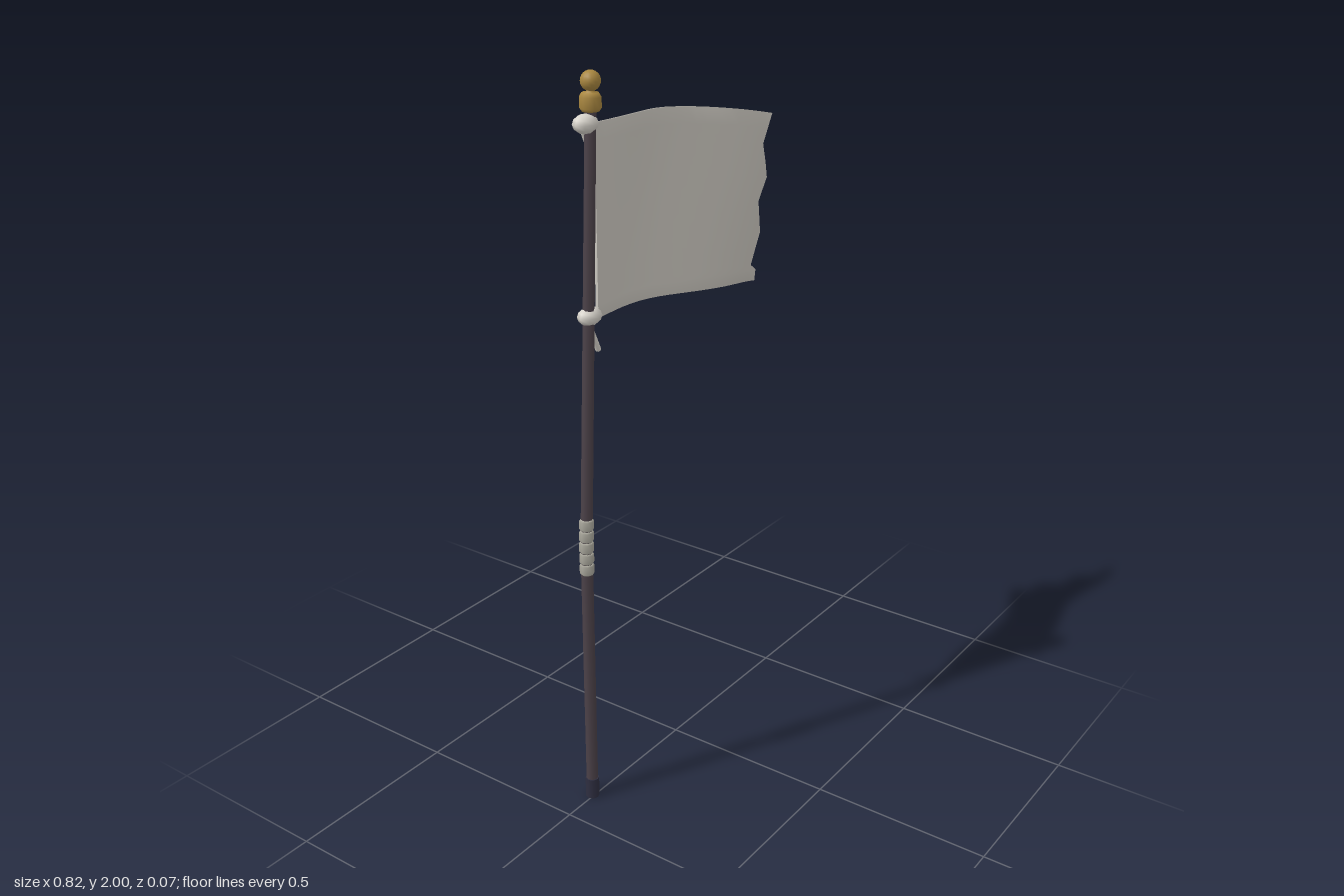
import * as THREE from 'three';

const mat = (name, color) => {
  const m = new THREE.MeshStandardMaterial({ color });
  m.name = name;
  return m;
};

const Z = -0.005; // depth of the pole axis
const BEND = new THREE.Vector3(-0.392, 0.78, Z);
const TOP = new THREE.Vector3(-0.337, 1.91, Z);
const poleAt = (y) => BEND.clone().lerp(TOP, (y - BEND.y) / (TOP.y - BEND.y));

// Cylinder running between two points
function rod(name, a, b, rTop, rBottom, sides, material) {
  const mesh = new THREE.Mesh(new THREE.CylinderGeometry(rTop, rBottom, a.distanceTo(b), sides), material);
  mesh.position.copy(a).add(b).multiplyScalar(0.5);
  mesh.quaternion.setFromUnitVectors(new THREE.Vector3(0, 1, 0), b.clone().sub(a).normalize());
  mesh.name = name;
  return mesh;
}

// Waving cloth: closed cross-sections swept along its length, with a torn free edge
function flagGeometry() {
  const rows = [0, 0.07, 0.1, 0.2, 0.3, 0.4, 0.485, 0.56, 0.63, 0.72, 0.82, 0.91, 1];
  const torn = [1, 1, 0.03, 0.5, 1, 0.46, 0.03, 0.52, 1, 0.53, 0.03, 0.52, 1];
  const cols = 20, half = 0.004, R = rows.length, ring = R * 2;
  const pos = [], idx = [];

  const surface = (t, v) => {
    const amp = 0.03 * Math.min(1, t * 2.4);
    const shift = THREE.MathUtils.lerp(0.15, -0.17, v);
    const z = -amp * Math.sin((2 * Math.PI * (t + shift)) / 1.04);
    return [-0.328 + 0.733 * t, 1.39 + 0.485 * v - 0.092 * t * t, Z * (1 - t) + z];
  };

  for (let c = 0; c <= cols; c++) {
    for (let k = 0; k < ring; k++) {
      const front = k < R;
      const r = front ? k : ring - 1 - k;
      const t = c < cols ? (c / (cols - 1)) * 0.94 : 0.94 + 0.06 * torn[r];
      const [x, y, z] = surface(t, rows[r]);
      pos.push(x, y, z + (front ? half : -half));
    }
  }
  for (let c = 0; c < cols; c++) {
    for (let k = 0; k < ring; k++) {
      const a = c * ring + k, b = c * ring + ((k + 1) % ring);
      idx.push(a, a + ring, b, b, a + ring, b + ring);
    }
  }
  // End strips, with their own corners so they stay crisp
  for (const c of [0, cols]) {
    const base = pos.length / 3;
    for (let k = 0; k < ring; k++) {
      const i = (c * ring + k) * 3;
      pos.push(pos[i], pos[i + 1], pos[i + 2]);
    }
    for (let r = 0; r < R - 1; r++) {
      const f0 = base + r, f1 = f0 + 1, b0 = base + ring - 1 - r, b1 = b0 - 1;
      if (c) idx.push(f0, b0, f1, f1, b0, b1);
      else idx.push(f0, f1, b0, f1, b1, b0);
    }
  }
  const g = new THREE.BufferGeometry();
  g.setAttribute('position', new THREE.Float32BufferAttribute(pos, 3));
  g.setIndex(idx);
  g.computeVertexNormals();
  return g;
}

export function createModel() {
  const model = new THREE.Group();
  model.name = 'flagOnPole';
  const wood = mat('darkWood', 0x4b4148);
  const iron = mat('darkIron', 0x2e2e40);
  const gold = mat('brass', 0xa8863f);
  const wrap = mat('gripWrap', 0xa9a79c);
  const cloth = mat('cloth', 0xcdc9c1);
  const cord = mat('cord', 0xd6d2ca);

  // Pole: upright lower half, leaning upper half
  const foot = new THREE.Vector3(BEND.x, 0, Z);
  model.add(rod('lowerPole', foot.clone().setY(0.01), BEND, 0.016, 0.016, 8, wood));
  model.add(rod('upperPole', BEND, TOP, 0.014, 0.016, 8, wood));
  model.add(rod('footCap', foot, foot.clone().setY(0.06), 0.019, 0.019, 8, iron));

  // Grip made of five wrapped bands
  const grip = new THREE.Group();
  grip.name = 'grip';
  for (let i = 0; i < 5; i++) {
    const y = 0.7 + i * 0.032;
    const h = 0.031;
    const profile = [[0, 0], [0.016, 0], [0.0195, 0.004], [0.0195, h - 0.004], [0.016, h], [0, h]];
    const band = new THREE.Mesh(
      new THREE.LatheGeometry(profile.map(([r, q]) => new THREE.Vector2(r, q)), 8), wrap);
    band.position.set(y > 0.78 ? poleAt(y).x : BEND.x, y, Z);
    band.name = 'gripBand';
    grip.add(band);
  }
  model.add(grip);

  // Finial: collar, neck and ball
  const collarProfile = [[0, 1.904], [0.021, 1.904], [0.027, 1.912], [0.027, 1.938], [0.021, 1.948], [0.01, 1.95], [0.01, 1.962]];
  const collar = new THREE.Mesh(
    new THREE.LatheGeometry(collarProfile.map(([r, y]) => new THREE.Vector2(r, y)), 12), gold);
  collar.position.set(-0.337, 0, Z);
  collar.name = 'finialCollar';
  const ball = new THREE.Mesh(new THREE.SphereGeometry(0.025, 16, 12), gold);
  ball.position.set(-0.335, 1.975, Z);
  ball.name = 'finialBall';
  model.add(collar, ball);

  // Cord knots with loose tails behind the cloth
  for (const y of [1.877, 1.402]) {
    const knot = new THREE.Mesh(new THREE.SphereGeometry(1, 8, 6), cord);
    knot.scale.set(0.037, 0.024, 0.028);
    knot.position.set(-0.355, y, Z - 0.002);
    knot.name = 'knot';
    model.add(knot);
    model.add(rod('knotTail',
      new THREE.Vector3(-0.352, y - 0.005, -0.022),
      new THREE.Vector3(-0.301, y - 0.108, -0.025), 0.008, 0.008, 6, cord));
  }

  const flag = new THREE.Mesh(flagGeometry(), cloth);
  flag.name = 'flag';
  model.add(flag);
  return model;
}
